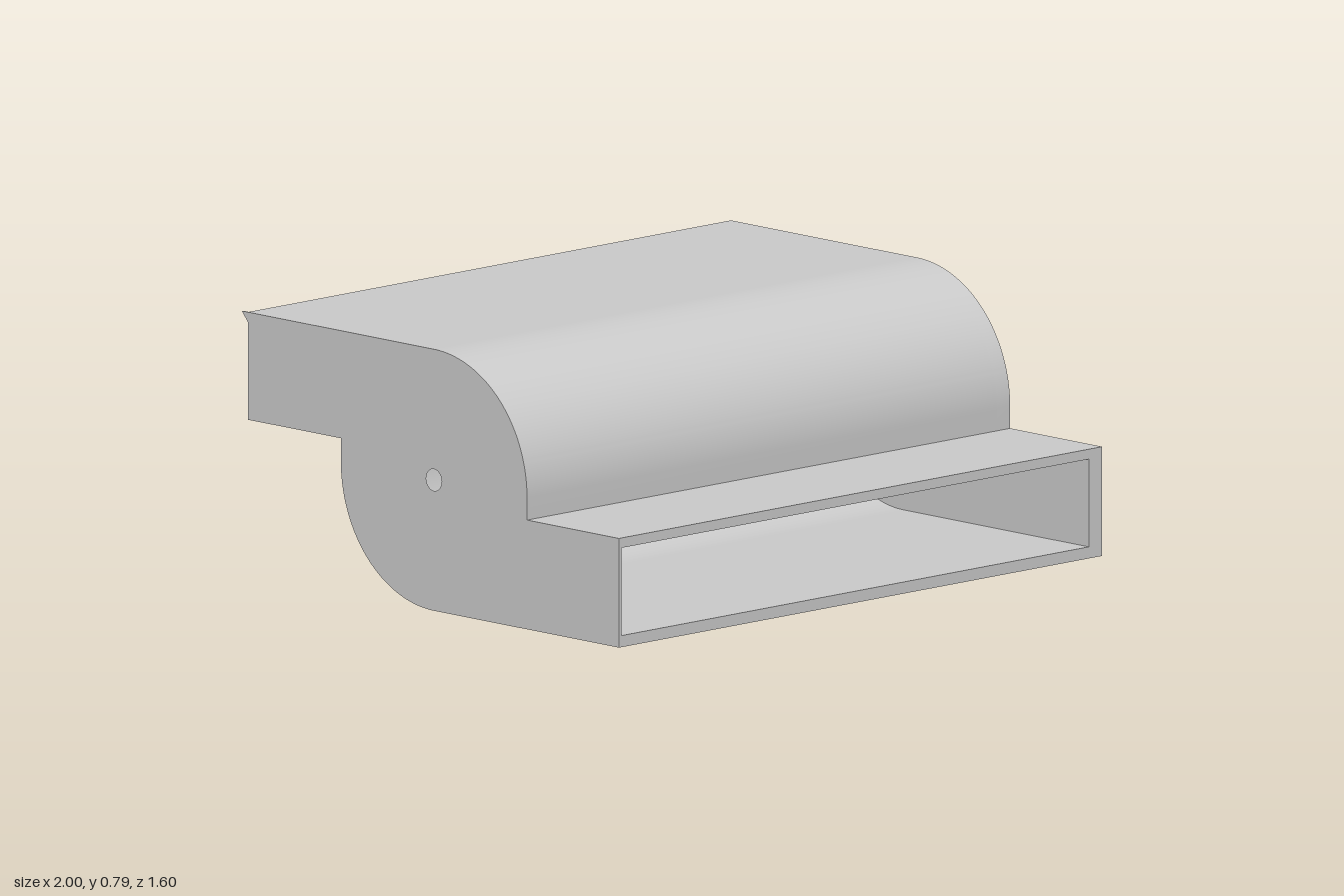
import * as THREE from 'three';
import { toCreasedNormals } from 'three/addons/utils/BufferGeometryUtils.js';

const CZ = 0.015, CY = 0.395, R = 0.395, WALL = 0.035;
const FRONT = 0.8, BACK = -0.775;
const LEFT_IN = 0.945, RIGHT_IN = -0.99;

// Profiles are drawn as (z, y); this extrudes one across x from x0 to x1.
function extrudeAcross(shape, x0, x1) {
  const g = new THREE.ExtrudeGeometry(shape, { depth: x1 - x0, bevelEnabled: false, curveSegments: 32 });
  g.rotateY(-Math.PI / 2);
  g.translate(x1, 0, 0);
  return toCreasedNormals(g, 0.5);
}

// Full S-shaped outline of the housing, with the axle hole
function sideShape() {
  const s = new THREE.Shape();
  s.moveTo(FRONT, 0);
  s.lineTo(CZ, 0);
  s.absarc(CZ, CY, R, -Math.PI / 2, -Math.PI, true);
  s.lineTo(CZ - R, 0.465);
  s.lineTo(BACK, 0.465);
  s.lineTo(BACK, 0.79);
  s.lineTo(CZ, 0.79);
  s.absarc(CZ, CY, R, Math.PI / 2, 0, true);
  s.lineTo(CZ + R, 0.33);
  s.lineTo(FRONT, 0.33);
  s.closePath();
  const hole = new THREE.Path();
  hole.absarc(CZ, CY, 0.033, 0, Math.PI * 2, true);
  s.holes.push(hole);
  return s;
}

// Floor of the front duct, lower drum curve and floor of the rear duct
function lowerShape() {
  const s = new THREE.Shape();
  s.moveTo(FRONT, 0);
  s.lineTo(CZ, 0);
  s.absarc(CZ, CY, R, -Math.PI / 2, -Math.PI, true);
  s.lineTo(CZ - R, 0.465);
  s.lineTo(BACK, 0.465);
  s.lineTo(BACK, 0.465 + WALL);
  s.lineTo(CZ - R + WALL, 0.465 + WALL);
  s.lineTo(CZ - R + WALL, CY);
  s.absarc(CZ, CY, R - WALL, Math.PI, Math.PI * 1.5, false);
  s.lineTo(FRONT, WALL);
  s.closePath();
  return s;
}

// Roof of the rear duct, upper drum curve and roof of the front duct
function upperShape() {
  const s = new THREE.Shape();
  s.moveTo(BACK, 0.79);
  s.lineTo(CZ, 0.79);
  s.absarc(CZ, CY, R, Math.PI / 2, 0, true);
  s.lineTo(CZ + R, 0.33);
  s.lineTo(FRONT, 0.33);
  s.lineTo(FRONT, 0.3);
  s.lineTo(CZ + R - WALL, 0.3);
  s.lineTo(CZ + R - WALL, CY);
  s.absarc(CZ, CY, R - WALL, 0, Math.PI / 2, false);
  s.lineTo(BACK, 0.79 - WALL);
  s.closePath();
  return s;
}

export function createModel() {
  const group = new THREE.Group();
  group.name = 'blowerHousing';
  const material = new THREE.MeshStandardMaterial({ color: 0xcccccc });
  const add = (name, shape, x0, x1) => {
    const mesh = new THREE.Mesh(extrudeAcross(shape, x0, x1), material);
    mesh.name = name;
    group.add(mesh);
  };

  // Curved shells between the side plates
  add('lowerShell', lowerShape(), RIGHT_IN, LEFT_IN);
  add('upperShell', upperShape(), RIGHT_IN, LEFT_IN);

  // Thick left plate and thin right plate
  add('leftSidePlate', sideShape(), LEFT_IN, 1);
  add('rightSidePlate', sideShape(), -1, RIGHT_IN);

  // Small pointed tab at the upper rear corner of the thin plate
  const tab = new THREE.Shape([
    new THREE.Vector2(BACK, 0.79),
    new THREE.Vector2(-0.8, 0.79),
    new THREE.Vector2(BACK, 0.76),
  ]);
  add('cornerTab', tab, -1, -0.996);
  return group;
}
